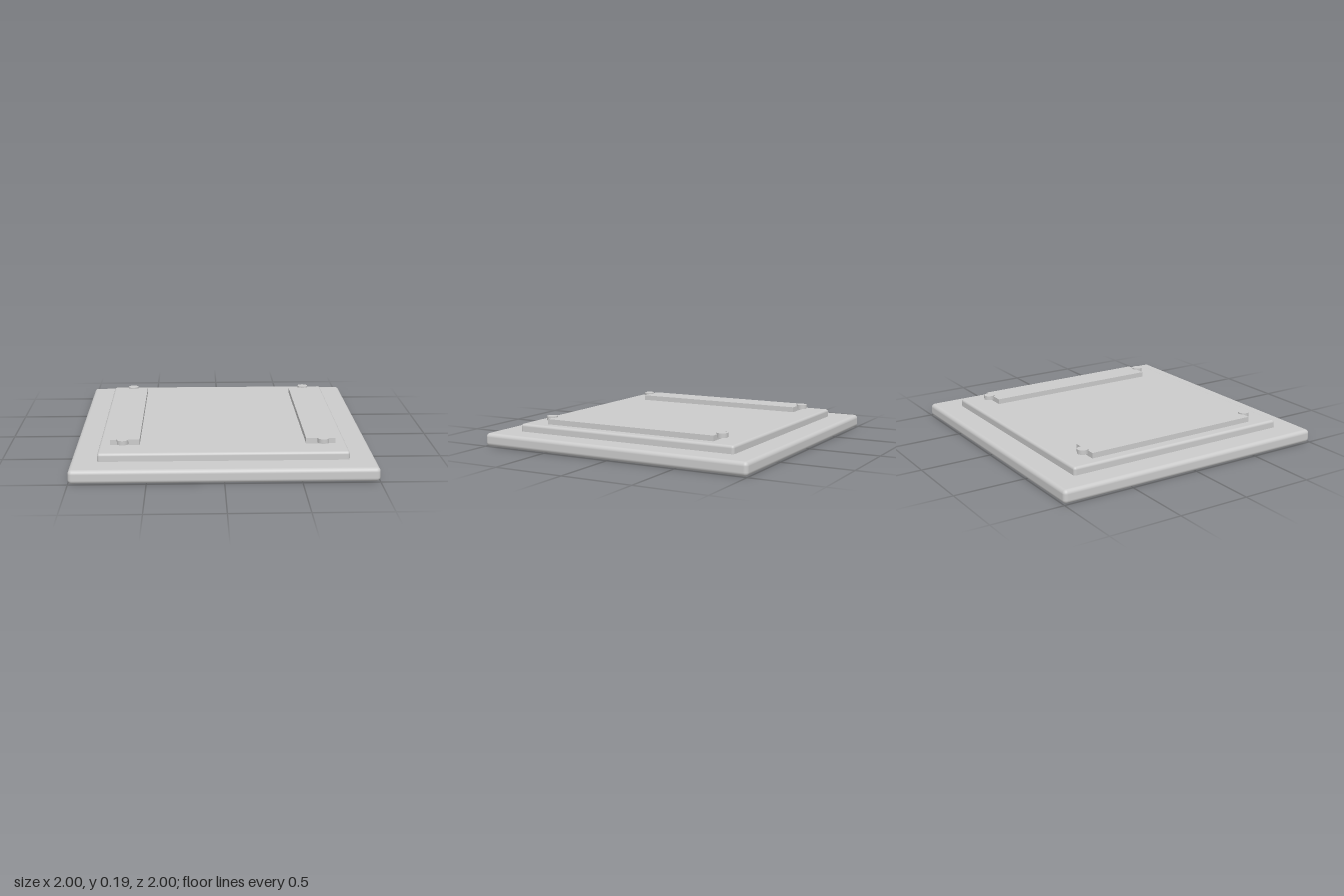
import * as THREE from 'three';
import { RoundedBoxGeometry } from 'three/addons/geometries/RoundedBoxGeometry.js';

const material = new THREE.MeshStandardMaterial({ color: 0xcccccc });

function addPart(group, name, geometry, x, y, z) {
  const mesh = new THREE.Mesh(geometry, material);
  mesh.name = name;
  mesh.position.set(x, y, z);
  group.add(mesh);
}

export function createModel() {
  const group = new THREE.Group();
  group.name = 'steppedPlate';

  // Two stacked square plates with rounded edges
  addPart(group, 'basePlate', new RoundedBoxGeometry(2, 0.092, 2, 4, 0.027), 0, 0.046, 0);
  addPart(group, 'raisedPlate', new RoundedBoxGeometry(1.65, 0.075, 1.65, 4, 0.018), 0, 0.1085, 0);

  // A flat rail on each side with a bolt at either end
  const railGeometry = new THREE.BoxGeometry(0.196, 0.037, 1.29);
  const boltGeometry = new THREE.CylinderGeometry(0.038, 0.038, 0.03, 16);
  for (const [side, sx] of [['left', 1], ['right', -1]]) {
    addPart(group, side + 'Rail', railGeometry, sx * 0.653, 0.1645, 0);
    for (const [end, sz] of [['Front', 1], ['Back', -1]]) {
      addPart(group, side + end + 'Bolt', boltGeometry, sx * 0.667, 0.177, sz * 0.667);
    }
  }
  return group;
}
